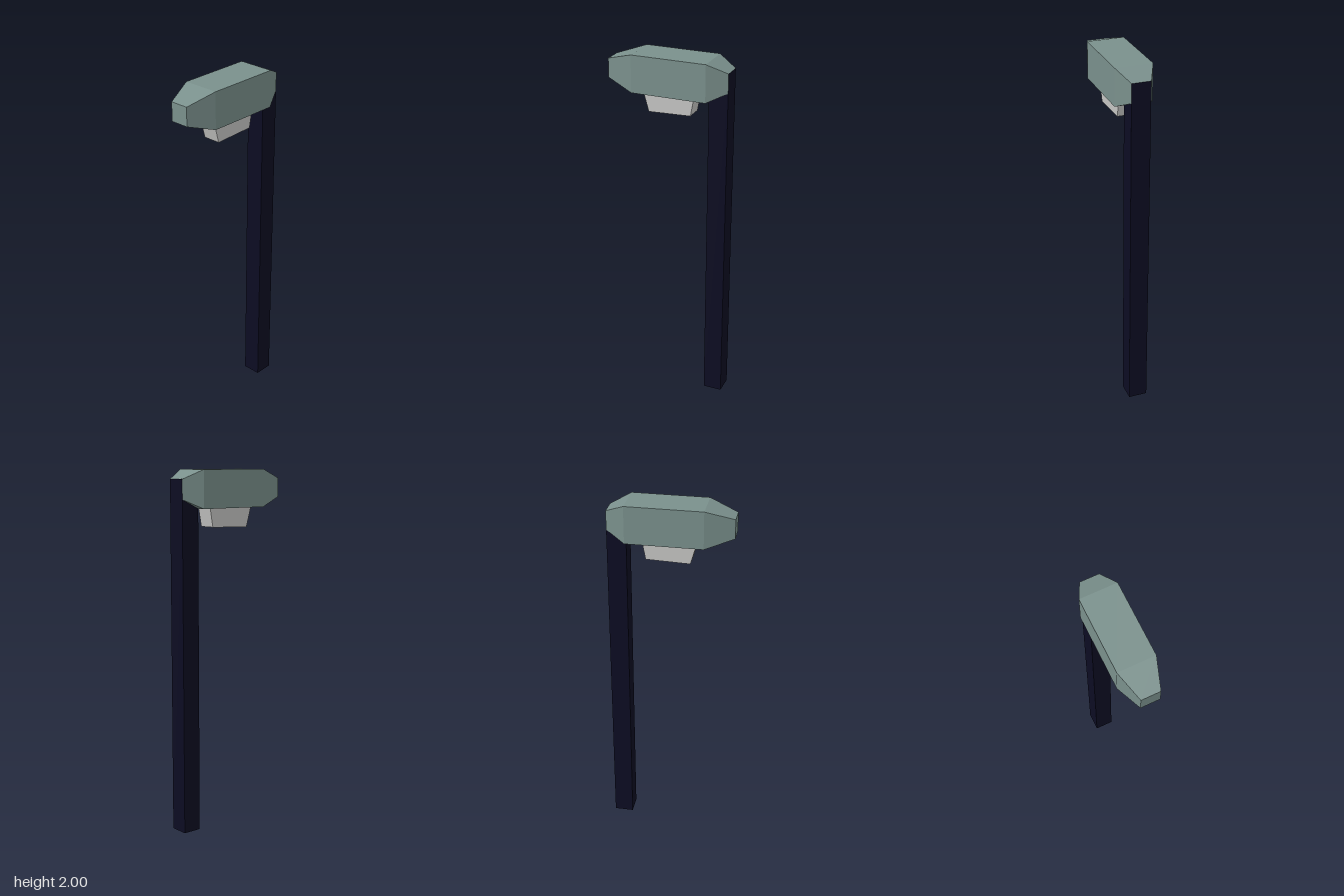
import * as THREE from 'three';

const mat = (name, color) => {
  const m = new THREE.MeshStandardMaterial({ color });
  m.name = name;
  return m;
};

// Flat-sided loft through rectangular rings, each with four corners in the same order
function loft(rings, capStart, capEnd) {
  const pos = [];
  const quad = (a, b, c, d) => [a, b, c, a, c, d].forEach((p) => pos.push(...p));
  for (let i = 0; i < rings.length - 1; i++) {
    for (let j = 0; j < 4; j++) {
      const k = (j + 1) % 4;
      quad(rings[i][j], rings[i][k], rings[i + 1][k], rings[i + 1][j]);
    }
  }
  if (capStart) quad(...[...rings[0]].reverse());
  if (capEnd) quad(...rings[rings.length - 1]);
  const g = new THREE.BufferGeometry();
  g.setAttribute('position', new THREE.Float32BufferAttribute(pos, 3));
  g.computeVertexNormals();
  return g;
}

export function createModel() {
  const group = new THREE.Group();
  const add = (name, geometry, material) => {
    const mesh = new THREE.Mesh(geometry, material);
    mesh.name = name;
    group.add(mesh);
    return mesh;
  };

  // Square post, its top closing the wide end of the housing
  const post = add('post', new THREE.BoxGeometry(0.106, 1.95, 0.106), mat('dark navy', 0x0c0c22));
  post.position.set(0.288, 0.975, 0);

  // Lamp housing, tapered at both ends
  const section = (x, h) => [
    [x, 1.8975 - h, -h], [x, 1.8975 + h, -h], [x, 1.8975 + h, h], [x, 1.8975 - h, h],
  ];
  const housing = [[-0.341, 0.053], [-0.185, 0.1035], [0.235, 0.1035], [0.341, 0.053]]
    .map(([x, h]) => section(x, h));
  add('lampHousing', loft(housing, true, false), mat('grey green', 0x7a908c));

  // Lamp hanging under the housing, narrower and slightly tilted at the bottom
  const ring = (x0, y0, x1, y1, z) => [[x0, y0, -z], [x1, y1, -z], [x1, y1, z], [x0, y0, z]];
  const lamp = [ring(-0.108, 1.683, 0.132, 1.691, 0.05), ring(-0.141, 1.8, 0.152, 1.8, 0.051)];
  // Rings run upward, so their corners are reversed to face outward
  add('lamp', loft(lamp.map((r) => r.reverse()), true, true), mat('light grey', 0xc6c6c4));

  return group;
}
